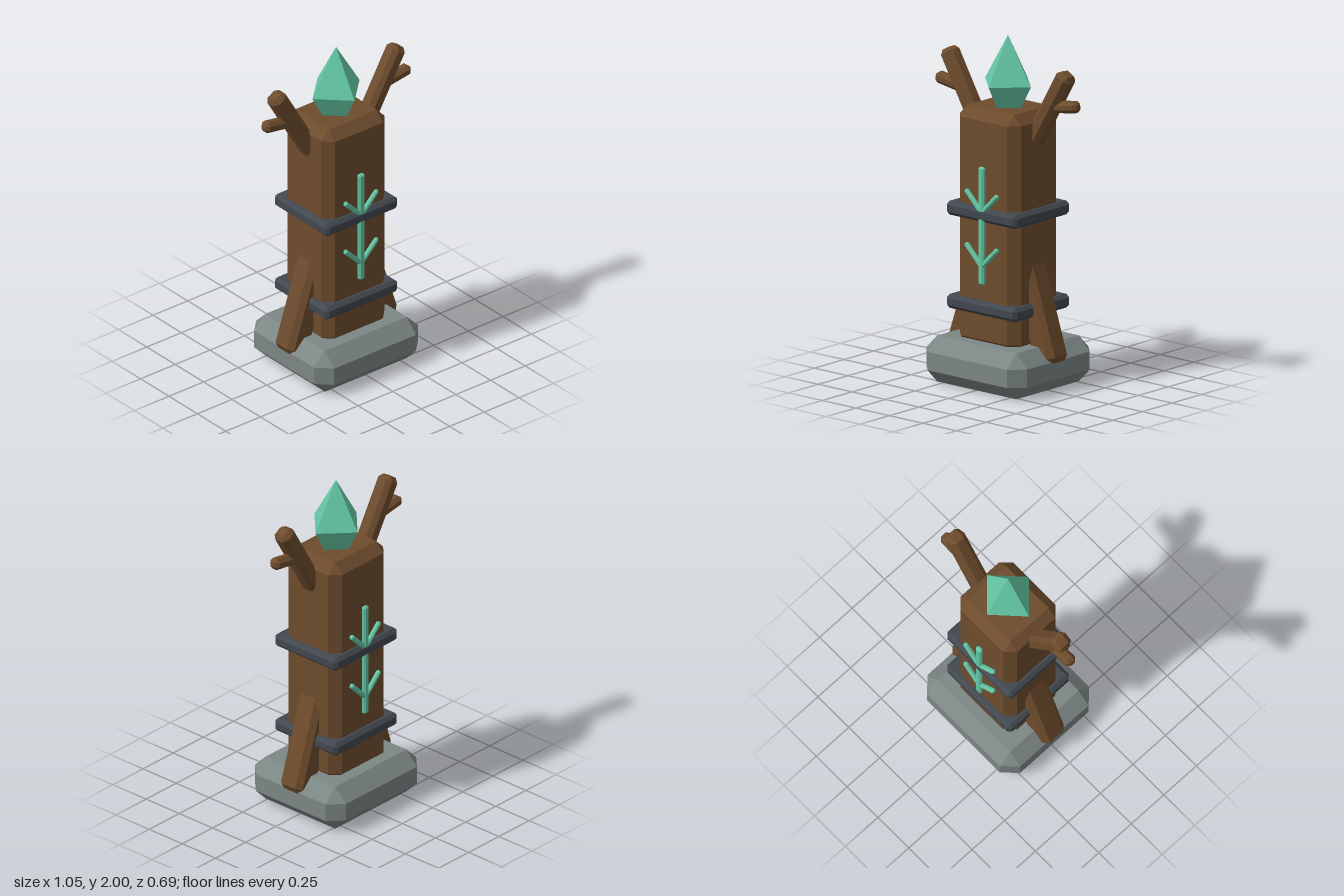
import * as THREE from 'three';
import { ConvexGeometry } from 'three/addons/geometries/ConvexGeometry.js';

const material = (name, color) => {
  const m = new THREE.MeshStandardMaterial({ color });
  m.name = name;
  return m;
};

// Box with every edge and corner cut flat by c
function chamferBox(w, h, d, c) {
  const half = [w / 2, h / 2, d / 2];
  const points = [];
  for (const sx of [-1, 1]) for (const sy of [-1, 1]) for (const sz of [-1, 1]) {
    for (let face = 0; face < 3; face++) {
      const p = half.map((v, axis) => (axis === face ? v : v - c));
      points.push(new THREE.Vector3(p[0] * sx, p[1] * sy, p[2] * sz));
    }
  }
  return new ConvexGeometry(points);
}

export function createModel() {
  const wood = material('wood', 0x6e4c2d);
  const stone = material('stone', 0x7c8785);
  const iron = material('iron', 0x42484f);
  const jade = material('jade', 0x64c8a5);
  const model = new THREE.Group();
  model.name = 'totem';

  function block(name, mat, size, c, pos, parent = model) {
    const mesh = new THREE.Mesh(chamferBox(...size, c), mat);
    mesh.name = name;
    mesh.position.set(...pos);
    parent.add(mesh);
    return mesh;
  }

  // Beam running between two points in a plane of constant z
  function beam(name, mat, a, b, thick, depth, c, z = 0, parent = model) {
    const dx = b[0] - a[0], dy = b[1] - a[1];
    const mesh = block(name, mat, [thick, Math.hypot(dx, dy), depth], c,
      [(a[0] + b[0]) / 2, (a[1] + b[1]) / 2, z], parent);
    mesh.rotation.z = Math.atan2(-dx, dy);
    return mesh;
  }

  // Plinth, trunk and iron bands
  block('plinth', stone, [0.75, 0.265, 0.686], 0.08, [0, 0.1325, 0]);
  block('trunk', wood, [0.456, 1.375, 0.406], 0.056, [0, 0.9075, 0]);
  block('lowerBand', iron, [0.524, 0.08, 0.474], 0.02, [0, 0.465, 0]);
  block('upperBand', iron, [0.524, 0.08, 0.474], 0.02, [0, 1.003, 0]);

  // Roots and forked branches on each side
  for (const [side, s] of [['left', 1], ['right', -1]]) {
    beam(side + 'Root', wood, [s * 0.139, 0.732], [s * 0.329, 0.161], 0.16, 0.16, 0.03);
    beam(side + 'Branch', wood, [s * 0.181, 1.4], [s * 0.443, 1.849], 0.1, 0.104, 0.025);
    beam(side + 'Twig', wood, [s * 0.33, 1.643], [s * 0.525, 1.673], 0.066, 0.07, 0.02);
  }

  // Sprig carving on front and back
  for (const [face, s] of [['front', 1], ['back', -1]]) {
    const sprig = new THREE.Group();
    sprig.name = face + 'Sprig';
    model.add(sprig);
    const z = s * 0.22;
    block('stem', jade, [0.042, 0.68, 0.03], 0.01, [0, 0.94, z], sprig);
    for (const y of [0.704, 1.014]) for (const x of [-1, 1]) {
      beam('leaf', jade, [0, y], [x * 0.118, y + 0.118], 0.028, 0.028, 0.008, z, sprig);
    }
  }

  // Four-sided crystal: pointed top, tapering foot set into the trunk
  const ring = (r, y) => [[r, 0], [0, r], [-r, 0], [0, -r]]
    .map(([x, z]) => new THREE.Vector3(x, y, z * 0.96));
  const crystal = new THREE.Mesh(new ConvexGeometry([
    new THREE.Vector3(0, 2, 0), ...ring(0.17, 1.725), ...ring(0.085, 1.57)]), jade);
  crystal.name = 'crystal';
  model.add(crystal);

  return model;
}
